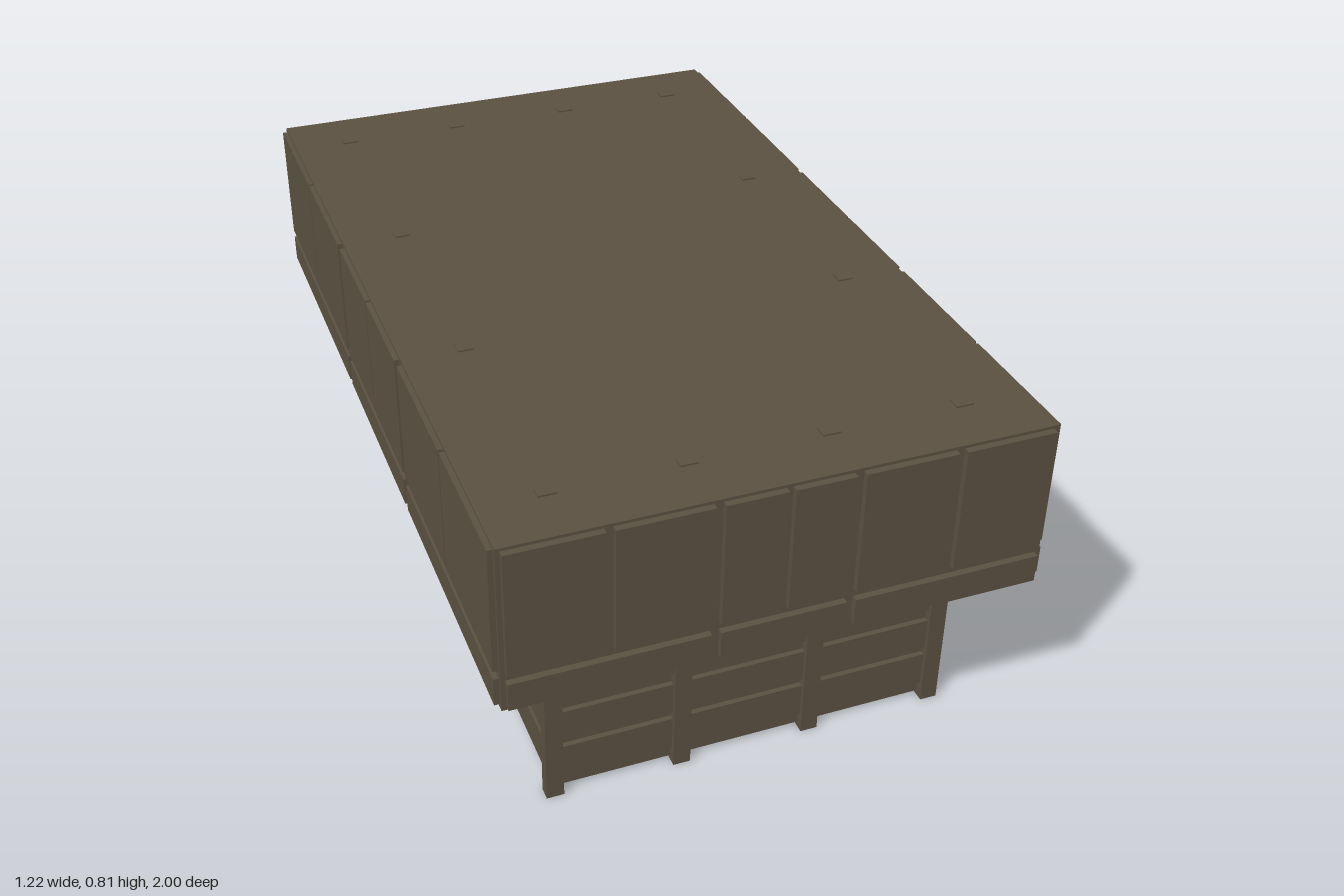
import * as THREE from 'three';

export function createModel() {
  const root = new THREE.Group();
  const wood = new THREE.MeshStandardMaterial({ color: 0x5a5041 });
  wood.name = 'dark weathered wood';

  const group = (name) => {
    const g = new THREE.Group();
    g.name = name;
    root.add(g);
    return g;
  };
  // box from its lower and upper corner
  const box = (parent, name, [x0, y0, z0], [x1, y1, z1]) => {
    const m = new THREE.Mesh(new THREE.BoxGeometry(x1 - x0, y1 - y0, z1 - z0), wood);
    m.position.set((x0 + x1) / 2, (y0 + y1) / 2, (z0 + z1) / 2);
    m.name = name;
    parent.add(m);
  };
  // board on the two ends (z) or the two long sides (x), from depth d0 out to d1
  const pair = (parent, name, axis, a, b, y0, y1, d0, d1) => {
    for (const s of [-1, 1]) {
      const lo = s > 0 ? d0 : -d1, hi = s > 0 ? d1 : -d0;
      if (axis === 'z') box(parent, name, [a, y0, lo], [b, y1, hi]);
      else box(parent, name, [lo, y0, a], [hi, y1, b]);
    }
  };

  // lower crate
  const crate = group('lowerCrate');
  box(crate, 'crateCore', [-0.453, 0.01, -0.838], [0.453, 0.41, 0.838]);
  for (const [y0, y1] of [[0.045, 0.13], [0.15, 0.23], [0.26, 0.385]]) {
    pair(crate, 'endSlat', 'z', -0.45, 0.45, y0, y1, 0.83, 0.85);
    pair(crate, 'sideSlat', 'x', -0.84, 0.84, y0, y1, 0.44, 0.465);
  }

  // posts run from the ground up through the top
  const posts = group('posts');
  for (const x of [-0.455, -0.16, 0.15, 0.455])
    pair(posts, 'endPost', 'z', x - 0.02, x + 0.02, 0, 0.814, 0.83, 0.86);
  for (const z of [-0.28, 0.28])
    pair(posts, 'sidePost', 'x', z - 0.016, z + 0.016, 0, 0.814, 0.44, 0.475);

  // strips under the floor
  const floor = group('floorStrips');
  for (let i = -4; i <= 4; i++)
    box(floor, 'floorStrip', [-0.452, 0.003, i * 0.18 - 0.008], [0.452, 0.02, i * 0.18 + 0.008]);

  // overhanging upper box
  const upper = group('upperBox');
  box(upper, 'upperCore', [-0.6, 0.408, -0.985], [0.6, 0.81, 0.985]);

  // boards: a low band with tall panels above, each panel split by a seam
  const panels = group('upperBoards');
  const clad = (axis, spans, d0, d1) => {
    for (const [a, b, seam] of spans) {
      const mid = (a + b) / 2;
      pair(panels, 'bandBoard', axis, a, b, 0.418, 0.485, d0, d1);
      pair(panels, 'tallPanel', axis, a, mid - seam / 2, 0.505, 0.803, d0, d1);
      pair(panels, 'tallPanel', axis, mid + seam / 2, b, 0.505, 0.803, d0, d1);
    }
  };
  clad('z', [[-0.59, -0.16, 0.018], [-0.14, 0.14, 0.014], [0.16, 0.59, 0.018]], 0.98, 1.0);
  clad('x', [[-0.975, -0.293, 0.008], [-0.269, 0.269, 0.008], [0.293, 0.975, 0.008]], 0.595, 0.612);

  return root;
}
